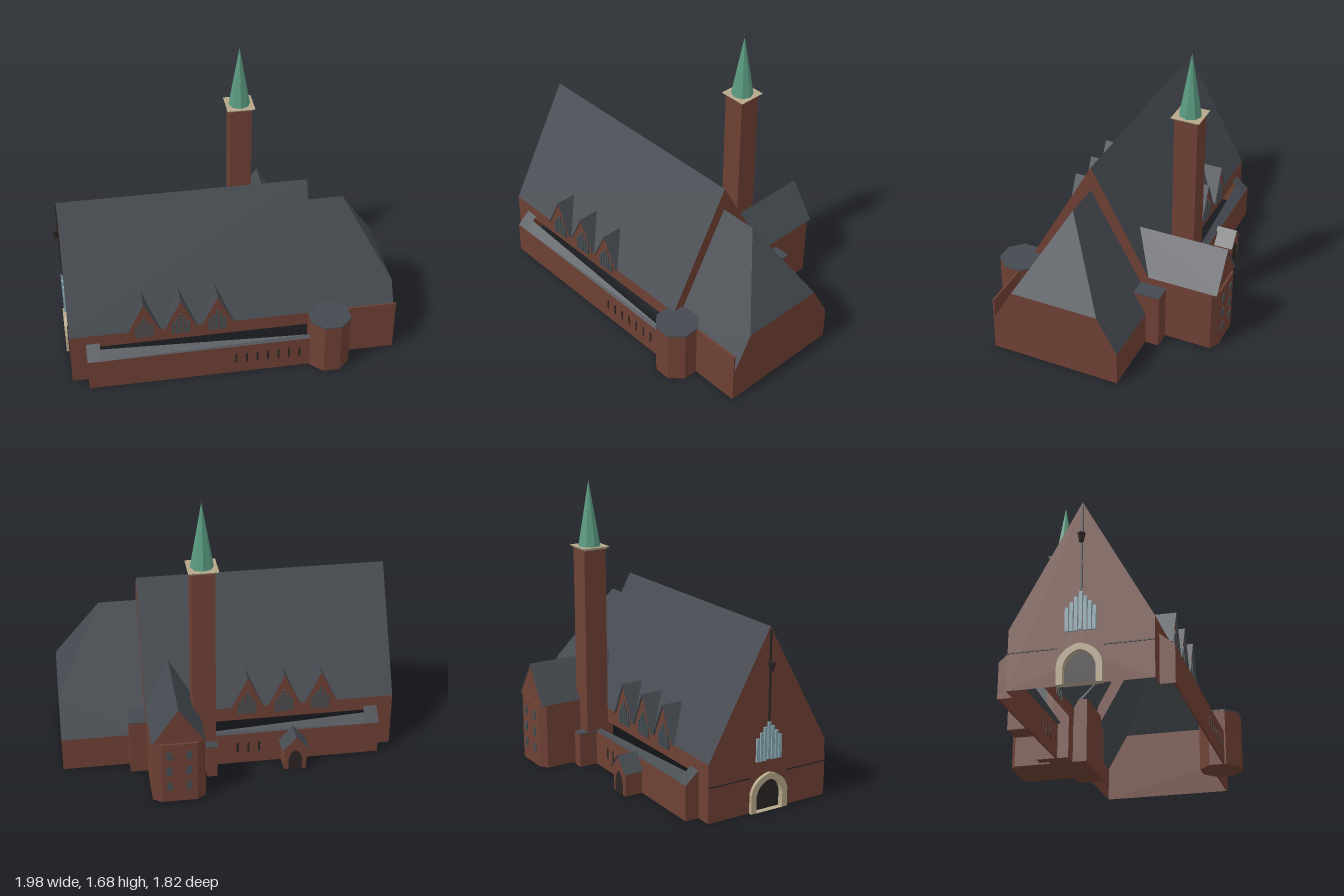
import * as THREE from 'three';

const BRICK = 0x6e4034, ROOF = 0x454a50, CREAM = 0xb5a78a, COPPER = 0x5a9a80, DARK = 0x2c2624, GLASS = 0x87a5b0, LEAD = 0x454c50;

const HALF = 0.38, EAVE = 0.33, RIDGE = 1.02, FRONT = 0.963, MID = -0.49, BACK = -0.975;
const LOW = 0.2, CHOIR_RIDGE = 0.875, AISLE = 0.46;

export function createModel() {
  const root = new THREE.Group();
  root.name = 'church';
  // the nave runs diagonally: local +z is the entrance side
  const body = new THREE.Group();
  body.name = 'building';
  body.rotation.y = -0.884;
  root.add(body);

  const mats = {};
  const mat = (c) => (mats[c] ??= new THREE.MeshStandardMaterial({ color: c, flatShading: true, side: THREE.DoubleSide }));
  function add(name, color, geo, x = 0, y = 0, z = 0) {
    const m = new THREE.Mesh(geo, mat(color));
    m.name = name;
    m.position.set(x, y, z);
    body.add(m);
    return m;
  }
  const box = (name, color, x0, x1, y0, y1, z0, z1) =>
    add(name, color, new THREE.BoxGeometry(Math.abs(x1 - x0), y1 - y0, Math.abs(z1 - z0)),
      (x0 + x1) / 2, (y0 + y1) / 2, (z0 + z1) / 2);
  // flat polygons, each a fan of corners
  function faces(name, color, ...polys) {
    const p = [];
    for (const f of polys) for (let i = 1; i < f.length - 1; i++) p.push(...f[0], ...f[i], ...f[i + 1]);
    const g = new THREE.BufferGeometry();
    g.setAttribute('position', new THREE.Float32BufferAttribute(p, 3));
    g.computeVertexNormals();
    return add(name, color, g);
  }
  const shapeOf = (pts) => new THREE.Shape(pts.map(([x, y]) => new THREE.Vector2(x, y)));
  const arch = (r, h, T = THREE.Shape) => {
    const s = new T();
    s.moveTo(-r, 0);
    s.lineTo(-r, h * 0.5);
    s.quadraticCurveTo(-r * 0.85, h * 0.9, 0, h);
    s.quadraticCurveTo(r * 0.85, h * 0.9, r, h * 0.5);
    s.lineTo(r, 0);
    return s;
  };

  // entrance front with arched doorway
  const front = shapeOf([[-HALF, 0], [HALF, 0], [HALF, EAVE], [0, RIDGE], [-HALF, EAVE]]);
  front.holes.push(arch(0.085, 0.18, THREE.Path));
  add('frontWall', BRICK, new THREE.ShapeGeometry(front), 0, 0, FRONT);
  const surround = arch(0.118, 0.215);
  surround.holes.push(arch(0.085, 0.18, THREE.Path));
  add('doorSurround', CREAM, new THREE.ExtrudeGeometry(surround, { depth: 0.035, bevelEnabled: false }), 0, 0, FRONT - 0.015);
  add('door', DARK, new THREE.ShapeGeometry(arch(0.09, 0.185)), 0, 0, FRONT - 0.02);
  for (const s of [-1, 1]) box('stringCourse', DARK, s * 0.12, s * HALF, 0.198, 0.204, FRONT, FRONT + 0.004);
  for (let i = -3; i <= 3; i++) {
    const k = Math.abs(i);
    box('frontWindow', GLASS, i * 0.024 - 0.009, i * 0.024 + 0.009, 0.285 + (k ? 0 : 0.005), 0.5 - k * 0.028, FRONT - 0.01, FRONT + 0.012);
  }
  box('gableRib', DARK, -0.005, 0.005, 0.5, RIDGE - 0.02, FRONT, FRONT + 0.008);
  add('gableLamp', DARK, new THREE.CylinderGeometry(0.022, 0.012, 0.05, 6), 0, 0.805, FRONT + 0.015);

  // main roof and the gable above the choir
  for (const s of [-1, 1]) {
    faces('naveRoof', ROOF, [[s * HALF, EAVE, FRONT], [s * HALF, EAVE, MID], [0, RIDGE, MID], [0, RIDGE, FRONT]]);
  }
  add('rearGable', BRICK, new THREE.ShapeGeometry(shapeOf(
    [[HALF, LOW], [HALF, EAVE], [0, RIDGE], [-HALF, EAVE], [-HALF, LOW], [0, CHOIR_RIDGE]])), 0, 0, MID);

  // choir: low eaves, half-hipped end
  const hipX = 0.26, hipY = 0.413, hipZ = -0.711;
  for (const s of [-1, 1]) {
    faces('choirRoof', ROOF, [[s * HALF, LOW, MID], [s * HALF, LOW, BACK], [s * hipX, hipY, BACK], [0, CHOIR_RIDGE, hipZ], [0, CHOIR_RIDGE, MID]]);
    faces('choirWall', BRICK, [[s * HALF, 0, MID], [s * HALF, 0, BACK], [s * HALF, LOW, BACK], [s * HALF, LOW, MID]]);
  }
  faces('choirHip', ROOF, [[-hipX, hipY, BACK], [hipX, hipY, BACK], [0, CHOIR_RIDGE, hipZ]]);
  add('choirEndWall', BRICK, new THREE.ShapeGeometry(shapeOf(
    [[-HALF, 0], [HALF, 0], [HALF, LOW], [hipX, hipY], [-hipX, hipY], [-HALF, LOW]])), 0, 0, BACK);
  box('choirParapet', BRICK, HALF - 0.008, HALF + 0.002, 0, EAVE, MID, BACK);

  // gabled block facing sideways: roof slopes run back to the main roof
  function gable(name, s, xOut, xEave, xRidge, z, half, y0, y1, over = 0) {
    for (const d of [-1, 1]) {
      faces(name + 'Roof', ROOF, [[s * (xOut + over), y0, z + d * half], [s * (xOut + over), y1, z], [s * xRidge, y1, z], [s * xEave, y0, z + d * half]]);
    }
    faces(name + 'Gable', BRICK, [[s * xOut, y0, z - half], [s * xOut, y0, z + half], [s * xOut, y1, z]]);
  }

  // both long sides: clerestory, dormers, open aisle
  for (const s of [-1, 1]) {
    const end = s > 0 ? -0.45 : -0.19;
    faces('clerestory', BRICK, [[s * HALF, 0.245, FRONT], [s * HALF, 0.245, MID], [s * HALF, EAVE, MID], [s * HALF, EAVE, FRONT]]);
    faces('frontSideWall', BRICK, [[s * HALF, 0, FRONT], [s * HALF, 0, 0.85], [s * HALF, 0.25, 0.85], [s * HALF, 0.25, FRONT]]);
    box('aisleWall', BRICK, s * (AISLE - 0.012), s * AISLE, 0, LOW, 0.87, end);
    faces('aisleEnd', BRICK, [[s * HALF, 0, 0.87], [s * AISLE, 0, 0.87], [s * AISLE, LOW, 0.87], [s * HALF, 0.27, 0.87]]);
    faces('aisleEndRoof', ROOF, [[s * HALF, 0.27, 0.87], [s * AISLE, LOW, 0.87], [s * AISLE, LOW, 0.79], [s * HALF, 0.27, 0.79]]);
    faces('aisleRoof', ROOF, [[s * AISLE, LOW, 0.8], [s * 0.4, 0.24, 0.8], [s * 0.435, 0.21, end], [s * AISLE, LOW, end]]);
    for (const z of [0.53, 0.315, 0.1]) {
      gable('dormer', s, 0.385, HALF, 0.265, z, 0.098, EAVE, 0.535, 0.012);
      for (let i = -2; i <= 2; i++) {
        const zz = z + i * 0.022;
        box('dormerWindow', LEAD, s * 0.375, s * 0.392, 0.29, 0.43 - Math.abs(i) * 0.028, zz - 0.008, zz + 0.008);
      }
    }
    const n = s > 0 ? 7 : 3;
    for (let i = 0; i < n; i++) {
      const z = (s > 0 ? 0.0 : 0.16) - i * 0.063;
      box('aisleWindow', DARK, s * (AISLE - 0.014), s * (AISLE + 0.003), 0.075, 0.14, z - 0.006, z + 0.006);
    }
  }

  // octagonal stair turret
  const oct = (r, h) => new THREE.CylinderGeometry(r, r, h, 8).rotateY(Math.PI / 8);
  add('turret', BRICK, oct(0.128, EAVE), 0.42, EAVE / 2, -0.56);
  add('turretCap', ROOF, oct(0.13, 0.008), 0.42, EAVE + 0.002, -0.56);

  // small annexes on the tower side
  box('annex', BRICK, -0.46, -0.31, 0, EAVE, -0.49, -0.59);
  box('annexRoof', ROOF, -0.462, -0.308, EAVE, EAVE + 0.006, -0.488, -0.592);
  box('towerAnnex', BRICK, -0.57, -0.45, 0, LOW, -0.16, -0.1);
  box('towerAnnexRoof', ROOF, -0.572, -0.45, LOW, LOW + 0.006, -0.162, -0.098);

  // side wing with chamfered outer corners
  const wz = -0.34, wh = 0.15;
  const plan = shapeOf([[-0.3, -wh], [-0.735, -wh], [-0.768, -wh + 0.05], [-0.768, wh - 0.05], [-0.735, wh], [-0.3, wh]]);
  add('wing', BRICK, new THREE.ExtrudeGeometry(plan, { depth: 0.38, bevelEnabled: false }).rotateX(-Math.PI / 2), 0, 0, wz);
  gable('wing', -1, 0.755, 0.33, 0.23, wz, wh, 0.38, 0.6, 0.01);
  for (const d of [-1, 1]) for (let r = 0; r < 3; r++) {
    const z = wz + d * 0.055;
    box('wingWindow', LEAD, -0.76, -0.773, 0.08 + r * 0.1, 0.13 + r * 0.1, z - 0.016, z + 0.016);
  }

  // side porch
  box('porch', BRICK, -0.565, -0.46, 0, 0.14, 0.29, 0.42);
  gable('porch', -1, 0.565, 0.45, 0.45, 0.355, 0.08, 0.135, 0.225, 0.012);
  add('porchDoor', DARK, new THREE.ShapeGeometry(arch(0.04, 0.13)), -0.568, 0, 0.355).rotation.y = -Math.PI / 2;

  // bell tower, flared cornice and spire
  const tx = -0.45, tz = -0.167;
  box('tower', BRICK, tx - 0.068, tx + 0.068, 0, 1.28, tz - 0.065, tz + 0.065);
  add('towerCornice', CREAM, new THREE.CylinderGeometry(0.118, 0.095, 0.016, 4).rotateY(Math.PI / 4), tx, 1.288, tz);
  add('spire', COPPER, new THREE.ConeGeometry(0.065, 0.375, 8), tx, 1.4825, tz);
  add('finial', DARK, new THREE.SphereGeometry(0.007, 8, 6), tx, 1.675, tz);

  return root;
}
